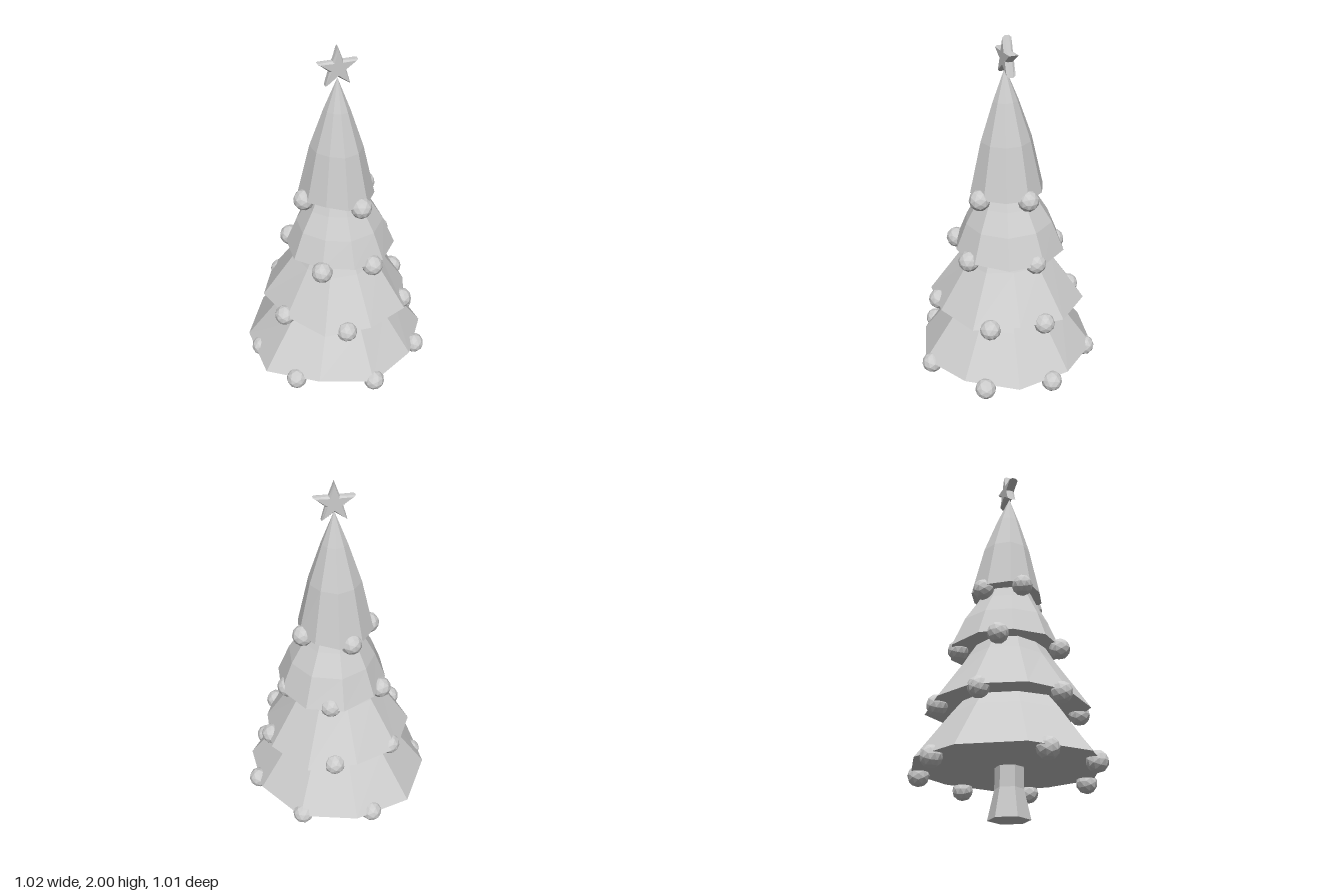
import * as THREE from 'three';

// Faceted normals for low-poly parts
function faceted(geometry) {
  const g = geometry.index ? geometry.toNonIndexed() : geometry;
  g.computeVertexNormals();
  return g;
}

// Horizontal position at an angle in degrees, counted from the back towards +x
function polar(degrees, r) {
  const a = THREE.MathUtils.degToRad(degrees);
  return [r * Math.sin(a), -r * Math.cos(a)];
}

// One branch tier: an uneven ten-sided rim, scaled up through [scale, y] rings, closed below
function tierGeometry(start, radii, rings) {
  const n = radii.length;
  const mean = radii.reduce((s, r) => s + r, 0) / n;
  const point = (i, k) => {
    const r = radii[i % n];
    const [s, y] = rings[k];
    const [x, z] = polar(start + (i * 360) / n, r * s);
    // corners that reach further out droop a little
    const droop = k === 0 ? (r - mean) * 0.4 : 0;
    return [x, y - droop, z];
  };
  const pos = [];
  for (let i = 0; i < n; i++) {
    for (let k = 0; k < rings.length - 1; k++) {
      const a = point(i, k), b = point(i + 1, k);
      const at = point(i, k + 1), bt = point(i + 1, k + 1);
      pos.push(...b, ...a, ...at);
      if (rings[k + 1][0] > 0) pos.push(...b, ...at, ...bt);
    }
    pos.push(0, rings[0][1] + 0.01, 0, ...point(i, 0), ...point(i + 1, 0));
  }
  const g = new THREE.BufferGeometry();
  g.setAttribute('position', new THREE.Float32BufferAttribute(pos, 3));
  return faceted(g);
}

export function createModel() {
  const group = new THREE.Group();
  group.name = 'christmasTree';
  const grey = new THREE.MeshStandardMaterial({ color: 0xcccccc });
  grey.name = 'light grey';

  const add = (name, geometry, parent = group) => {
    const mesh = new THREE.Mesh(geometry, grey);
    mesh.name = name;
    parent.add(mesh);
    return mesh;
  };

  // Six-sided trunk, flared at the foot
  const trunk = new THREE.Group();
  trunk.name = 'trunk';
  group.add(trunk);
  const foot = new THREE.CylinderGeometry(0.074, 0.108, 0.15, 6, 1, true);
  foot.rotateY(Math.PI / 6).translate(0, 0.075, 0);
  add('trunkFlare', faceted(foot), trunk);
  const stem = new THREE.CylinderGeometry(0.072, 0.074, 0.16, 6, 1, true);
  stem.rotateY(Math.PI / 6).translate(0, 0.23, 0);
  add('trunkStem', faceted(stem), trunk);
  const base = new THREE.CircleGeometry(0.108, 6);
  base.rotateX(Math.PI / 2);
  add('trunkBase', base, trunk);

  // A branch tier with its ring of baubles, placed by angle
  const ball = faceted(new THREE.IcosahedronGeometry(0.056, 1));
  let tierCount = 0;
  const addTier = (start, radii, rings, baubleY, baubleRadius, baubleAngles) => {
    tierCount++;
    add(`branchTier${tierCount}`, tierGeometry(start, radii, rings));
    const ring = new THREE.Group();
    ring.name = `baubles${tierCount}`;
    group.add(ring);
    baubleAngles.forEach((angle, i) => {
      const [x, z] = polar(angle, baubleRadius);
      const bauble = add(`bauble${i + 1}`, ball, ring);
      bauble.position.set(x, baubleY, z);
      bauble.rotation.y = i * 1.3;
    });
  };
  addTier(-5, [0.5, 0.5, 0.48, 0.488, 0.47, 0.49, 0.466, 0.53, 0.52, 0.53],
    [[1, 0.25], [0.64, 0.49], [0.4, 0.64]],
    0.235, 0.46, [-17, 31, 79, 125, 173, 228, 270]);
  addTier(-8, [0.403, 0.438, 0.416, 0.379, 0.412, 0.395, 0.417, 0.384, 0.418, 0.424],
    [[1, 0.56], [0.58, 0.81], [0.38, 0.95]],
    0.555, 0.37, [9, 78, 124, 191, 249, 315]);
  addTier(0, [0.317, 0.323, 0.314, 0.309, 0.293, 0.276, 0.264, 0.284, 0.277, 0.292],
    [[1, 0.88], [0.79, 1.03], [0.57, 1.14], [0.38, 1.25]],
    0.87, 0.27, [13, 76, 156, 216, 304]);
  addTier(2, [0.216, 0.2, 0.197, 0.193, 0.193, 0.19, 0.17, 0.185, 0.207, 0.208],
    [[1, 1.2], [0.68, 1.475], [0.33, 1.68], [0, 1.845]],
    1.19, 0.182, [71, 157, 270, 341]);

  // Bevelled five-pointed star
  const shape = new THREE.Shape();
  for (let i = 0; i < 10; i++) {
    const r = i % 2 ? 0.044 : 0.106;
    const a = Math.PI / 2 + (i * Math.PI) / 5;
    const x = r * Math.cos(a), y = r * Math.sin(a);
    if (i) shape.lineTo(x, y);
    else shape.moveTo(x, y);
  }
  shape.closePath();
  const starGeometry = new THREE.ExtrudeGeometry(shape, {
    depth: 0.022, bevelEnabled: true, bevelThickness: 0.013,
    bevelSize: 0.008, bevelOffset: -0.008, bevelSegments: 1,
  });
  starGeometry.translate(0, 0, -0.011);
  add('star', faceted(starGeometry)).position.set(0.002, 1.894, -0.009);

  return group;
}
